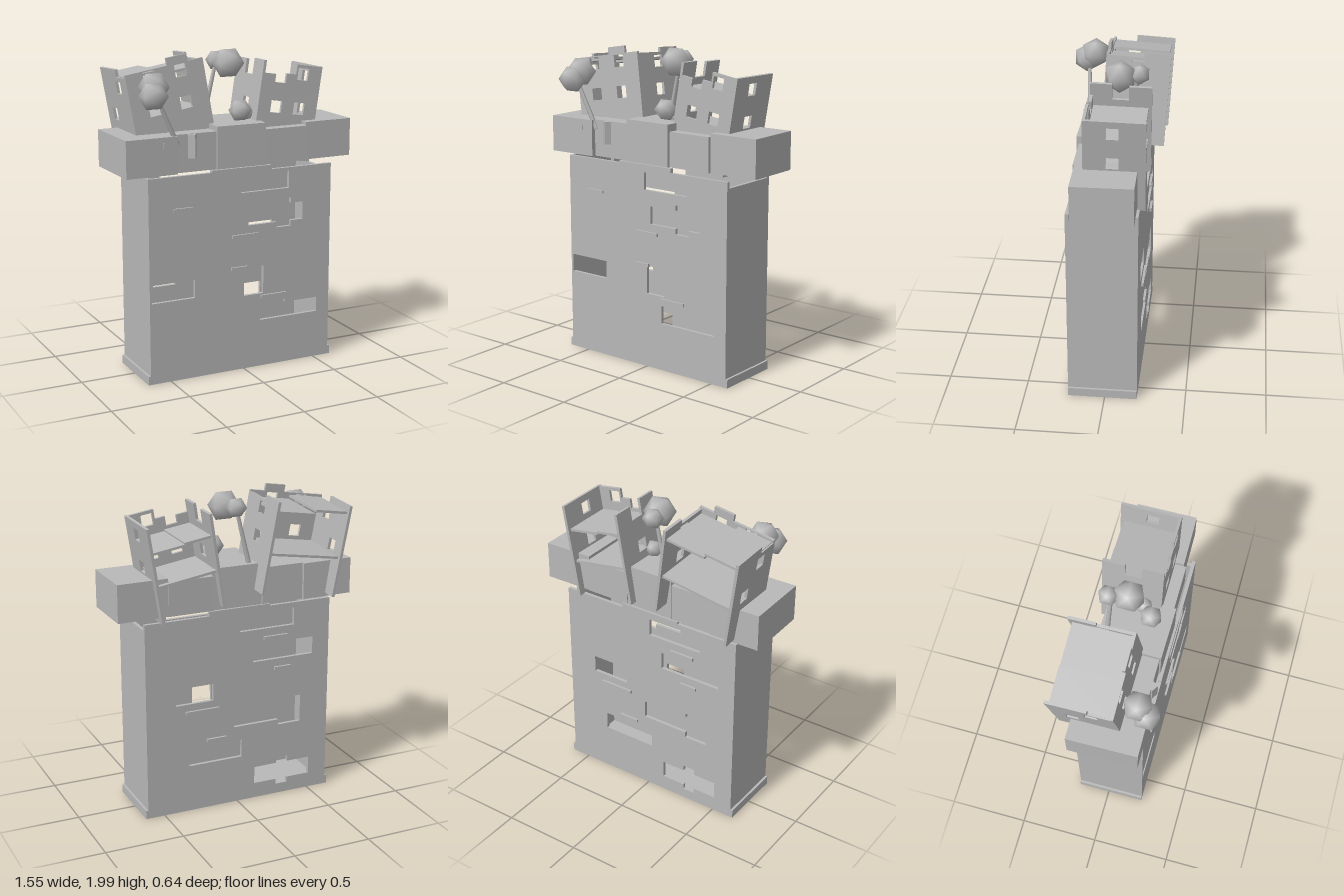
import * as THREE from 'three';
import { mergeVertices } from 'three/addons/utils/BufferGeometryUtils.js';

const gray = new THREE.MeshStandardMaterial({ color: 0xb8b8b8 });
gray.name = 'concrete gray';

const rect = (x0, y0, x1, y1) => [[x0, y0], [x1, y0], [x1, y1], [x0, y1]];
const square = (x, y, s = 0.075) => rect(x - s / 2, y - s / 2, x + s / 2, y + s / 2);
// wide slot with a taller block in the middle
const cross = (x0, x1, y0, y1, a, b, c, d) => [[x0, y0], [a, y0], [a, c], [b, c], [b, y0],
  [x1, y0], [x1, y1], [b, y1], [b, d], [a, d], [a, y1], [x0, y1]];
const toPoints = list => list.map(([x, y]) => new THREE.Vector2(x, y));

function add(parent, name, geometry, x = 0, y = 0, z = 0) {
  const mesh = new THREE.Mesh(geometry, gray);
  mesh.name = name;
  mesh.position.set(x, y, z);
  parent.add(mesh);
  return mesh;
}

// box given by its two corners
function box(parent, name, x0, x1, y0, y1, z0, z1) {
  return add(parent, name, new THREE.BoxGeometry(x1 - x0, y1 - y0, z1 - z0),
    (x0 + x1) / 2, (y0 + y1) / 2, (z0 + z1) / 2);
}

// flat wall in the xy plane with openings, thick towards +z
function panel(parent, name, outline, holes, depth, x, y, z) {
  const shape = new THREE.Shape(toPoints(outline));
  holes.forEach(h => shape.holes.push(new THREE.Path(toPoints(h))));
  return add(parent, name, new THREE.ExtrudeGeometry(shape, { depth, bevelEnabled: false }), x, y, z);
}

// wall running backwards: outline x is the distance behind the front
function sidePanel(...args) {
  const mesh = panel(...args);
  mesh.rotation.y = Math.PI / 2;
  return mesh;
}

function trunk(parent, a, b, r) {
  const p = new THREE.Vector3(...a), q = new THREE.Vector3(...b);
  const mesh = add(parent, 'treeTrunk', new THREE.CylinderGeometry(r * 0.7, r, p.distanceTo(q), 6));
  mesh.position.copy(p).lerp(q, 0.5);
  mesh.quaternion.setFromUnitVectors(new THREE.Vector3(0, 1, 0), q.sub(p).normalize());
}

function foliage(parent, x, y, z, r) {
  let g = new THREE.IcosahedronGeometry(r, 0);
  g.deleteAttribute('normal');
  g.deleteAttribute('uv');
  g = mergeVertices(g);
  g.computeVertexNormals();
  add(parent, 'foliage', g, x, y, z);
}

// leaning ruin, open at the back
function ruin(name, o) {
  const g = new THREE.Group(), t = 0.018;
  g.name = name;
  panel(g, 'ruinFront', o.front, o.windows, t, 0, 0, -t);
  sidePanel(g, 'ruinRightWall', o.right, o.rightWindows, t, 0, 0, 0);
  sidePanel(g, 'ruinLeftWall', o.left, o.leftWindows, t, o.width - t, 0, 0);
  o.floors.forEach(([u0, u1, v]) => box(g, 'ruinFloor', u0, u1, v, v + 0.015, 0.02 - o.depth, -t));
  g.position.set(...o.position);
  g.rotation.set(o.pitch, 0, o.roll);
  return g;
}

export function createModel() {
  const model = new THREE.Group();
  const X0 = -0.635, X1 = 0.61, Z0 = -0.2, Z1 = 0.23, T = 0.022;

  // tall hollow base
  const base = new THREE.Group();
  base.name = 'base';
  model.add(base);
  const wall = [[X0, 0], [X1, 0], [X1, 1.27], [0.19, 1.27], [0.19, 1.298], [-0.22, 1.298], [-0.22, 1.285], [X0, 1.285]];
  panel(base, 'frontWall', wall, [
    rect(-0.02, 1.14, 0.31, 1.25),
    cross(0.03, 0.41, 0.93, 1.042, 0.225, 0.325, 0.895, 1.077),
    rect(-0.62, 0.515, -0.335, 0.63),
    rect(0, 0.48, 0.135, 0.66),
    [[0.115, 0.305], [0.52, 0.305], [0.52, 0.4], [0.29, 0.4], [0.29, 0.42], [0.115, 0.42]],
  ], T, 0, 0, Z1 - T);
  panel(base, 'backWall', wall, [
    rect(-0.386, 1.14, -0.015, 1.25),
    rect(-0.52, 0.93, -0.105, 1.042),
    rect(0.165, 0.72, 0.415, 0.83),
    [[-0.44, 0.48], [-0.285, 0.48], [-0.285, 0.515], [0.025, 0.515], [0.025, 0.63], [-0.285, 0.63], [-0.285, 0.66], [-0.44, 0.66]],
    rect(-0.03, 0.305, 0.33, 0.42),
    cross(-0.51, -0.12, 0.1, 0.213, -0.355, -0.275, 0.065, 0.25),
  ], T, 0, 0, Z0);
  box(base, 'rightEndWall', X0, X0 + 0.015, 0, 1.285, Z0 + T, Z1 - T);
  box(base, 'leftEndWall', X1 - T, X1, 0, 1.23, Z0 + T, Z1 - T);
  box(base, 'bottom', X0, X1, 0, 0.02, Z0, Z1);
  box(base, 'rightPlinth', X0 - 0.015, X0, 0, 0.055, Z0, Z1);
  box(base, 'leftPlinth', X1, X1 + 0.015, 0, 0.055, Z0, Z1);
  box(base, 'innerPartition', -0.575, -0.55, 0.02, 1.26, Z0 + T, Z0 + 0.1);

  // thin ledges on the front and back
  [[-0.475, -0.35, 1.08], [-0.085, 0.09, 0.87], [-0.09, 0.02, 0.665], [0.115, 0.295, 0.46]]
    .forEach(([a, b, y]) => box(base, 'frontLedge', a, b, y - 0.01, y + 0.01, Z1 - 0.01, 0.243));
  [[-0.34, -0.176, 1.08], [-0.363, -0.25, 0.87], [0.127, 0.353, 0.665], [0.08, 0.213, 0.46]]
    .forEach(([a, b, y]) => box(base, 'backLedge', a, b, y - 0.01, y + 0.01, -0.215, Z0 + 0.01));

  // row of slightly uneven blocks on top
  [[-0.776, -0.445, 1.527, -0.2, 0.232, 0.015], [-0.445, -0.17, 1.53, -0.19, 0.2, 0],
    [-0.17, 0.157, 1.56, -0.185, 0.213, -0.015], [0.157, 0.45, 1.515, -0.19, 0.2, 0],
    [0.45, 0.772, 1.535, -0.187, 0.183, 0.012]]
    .forEach(([a, b, h, z0, z1, turn]) => { box(model, 'topBlock', a, b, 1.298, h, z0, z1).rotation.y = turn; });
  box(model, 'smallVent', -0.535, -0.515, 1.46, 1.495, 0.22, 0.238);
  box(model, 'frontPost', -0.36, -0.315, 1.385, 1.528, 0.185, 0.225).rotation.y = -0.6;

  // ruin on the model's right
  const sideWindows = [square(0.2, 0.315), square(0.2, 0.49)];
  model.add(ruin('rightRuin', {
    position: [-0.62, 1.335, 0.105], pitch: -0.055, roll: 0.157, width: 0.51, depth: 0.395,
    front: [[0, 0], [0.51, 0], [0.51, 0.555], [0.41, 0.555], [0.41, 0.6], [0.275, 0.6], [0.275, 0.555], [0, 0.555]],
    windows: [0.15, 0.355].flatMap(u => [square(u, 0.315), square(u, 0.51)]),
    right: [[0, 0], [0.395, 0], [0.395, 0.58], [0.15, 0.58], [0.15, 0.535], [0, 0.535]],
    rightWindows: [square(0.27, 0.3), square(0.14, 0.47)],
    left: [[0, 0], [0.395, 0], [0.395, 0.575], [0.23, 0.575], [0.23, 0.545], [0, 0.545]],
    leftWindows: sideWindows,
    floors: [[0.01, 0.5, 0.24], [0.01, 0.235, 0.525], [0.235, 0.5, 0.5]],
  }));

  // ruin on the model's left
  model.add(ruin('leftRuin', {
    position: [0.095, 1.335, 0.133], pitch: -0.015, roll: -0.157, width: 0.416, depth: 0.365,
    front: [[0, 0], [0.416, 0], [0.416, 0.597], [0.316, 0.597], [0.235, 0.597], [0.235, 0.535], [0.17, 0.535],
      [0.17, 0.475], [0.095, 0.475], [0.095, 0.525], [0, 0.525]],
    windows: [square(0.126, 0.325), square(0.287, 0.325), square(0.285, 0.54)],
    right: [[0, 0], [0.365, 0], [0.365, 0.59], [0.23, 0.59], [0.23, 0.5], [0.13, 0.5], [0.13, 0.602], [0, 0.602]],
    rightWindows: [square(0.17, 0.32)],
    left: [[0, 0], [0.365, 0], [0.365, 0.6], [0, 0.6]],
    leftWindows: [square(0.17, 0.32), square(0.17, 0.52)],
    floors: [[0.01, 0.405, 0.22], [0.01, 0.19, 0.44], [0.19, 0.405, 0.43]],
  }));

  // leaning trees
  const trees = new THREE.Group();
  trees.name = 'trees';
  model.add(trees);
  trunk(trees, [-0.43, 1.47, 0.2], [-0.565, 1.76, 0.22], 0.016);
  trunk(trees, [-0.105, 1.53, -0.14], [-0.02, 1.9, -0.13], 0.016);
  trunk(trees, [0.1, 1.5, 0.05], [0.05, 1.62, 0.08], 0.014);
  [[0.02, 1.903, -0.035, 0.1], [-0.01, 1.91, -0.15, 0.065], [0.04, 1.625, 0.09, 0.072], [0.11, 1.6, 0.03, 0.055],
    [-0.57, 1.82, 0.18, 0.095], [-0.595, 1.775, 0.235, 0.09]]
    .forEach(s => foliage(trees, ...s));
  return model;
}
